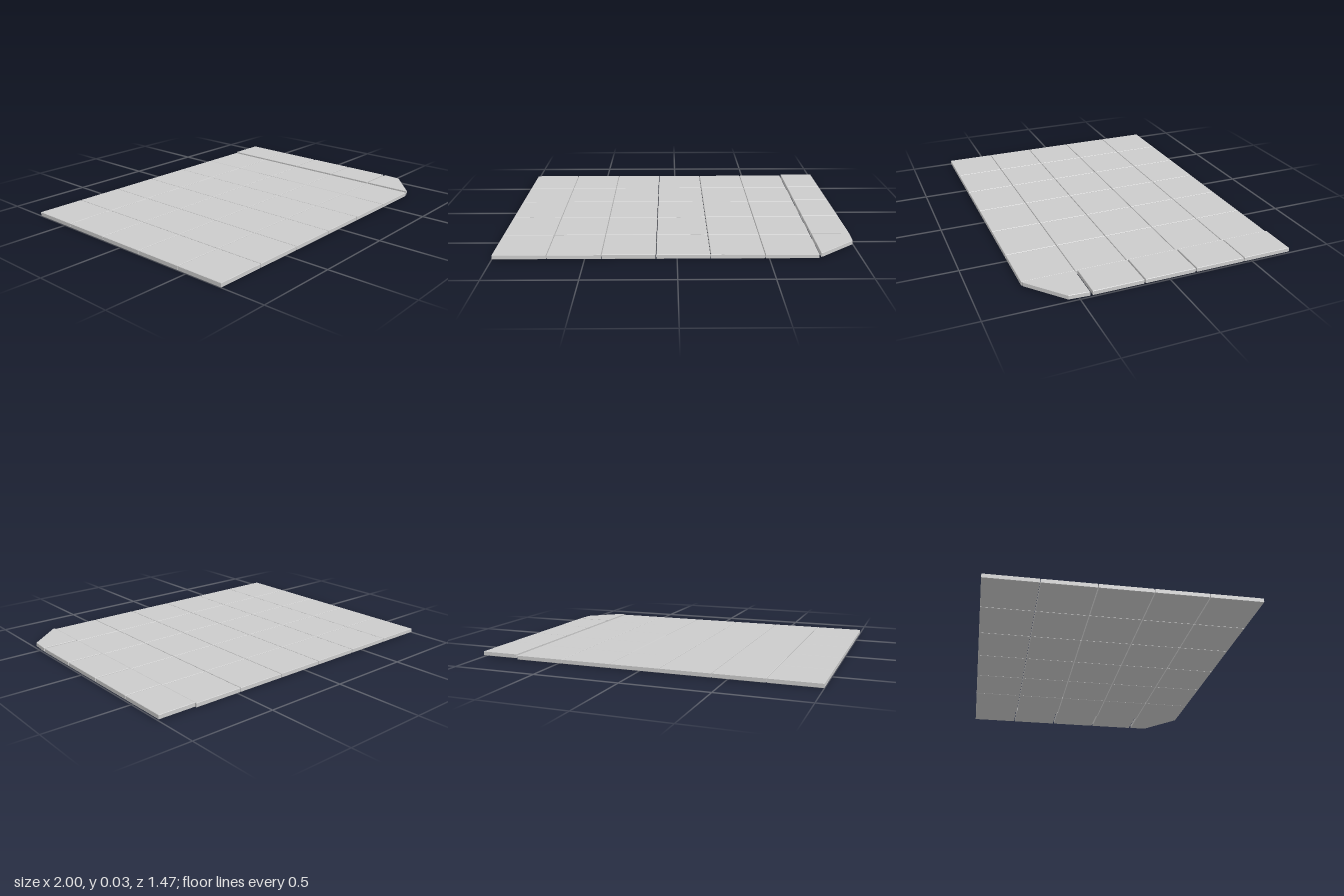
import * as THREE from 'three';

const BEVEL = 0.002;
const THICK = 0.025;
const material = new THREE.MeshStandardMaterial({ color: 0xcccccc, flatShading: true });

// Flat slab with lightly chamfered edges from an outline of [x, z] corners
function slab(name, outline, bottom) {
  const shape = new THREE.Shape(outline.map(([x, z]) => new THREE.Vector2(x, z)));
  const geometry = new THREE.ExtrudeGeometry(shape, {
    depth: THICK - 2 * BEVEL,
    bevelThickness: BEVEL,
    bevelSize: BEVEL,
    bevelOffset: -BEVEL,
    bevelSegments: 1,
  });
  geometry.rotateX(Math.PI / 2);
  geometry.translate(0, bottom + THICK - BEVEL, 0);
  const mesh = new THREE.Mesh(geometry, material);
  mesh.name = name;
  return mesh;
}

const rectangle = (x0, x1, z0, z1) => [[x0, z0], [x1, z0], [x1, z1], [x0, z1]];

export function createModel() {
  const model = new THREE.Group();
  model.name = 'tiledFloor';

  // Main field of square tiles
  const field = new THREE.Group();
  field.name = 'squareTiles';
  const pitch = 0.2957, size = 0.292, left = -1, back = -0.738;
  for (let row = 0; row < 5; row++) {
    for (let column = 0; column < 6; column++) {
      const x = left + column * pitch;
      const z = back + row * pitch;
      field.add(slab('squareTile', rectangle(x, x + size, z, z + size), 0));
    }
  }
  model.add(field);

  // Column of narrower cut tiles, sitting slightly higher
  const edge = new THREE.Group();
  edge.name = 'cutTiles';
  const lift = 0.007, inner = 0.779, outer = 1;
  const spans = [[-0.738, -0.451], [-0.446, -0.158], [-0.15, 0.14], [0.148, 0.433]];
  for (const [z0, z1] of spans) edge.add(slab('cutTile', rectangle(inner, outer, z0, z1), lift));

  // Corner tile with its outer corner cut off diagonally
  edge.add(slab('cornerTile', [
    [inner, 0.447], [outer, 0.447], [0.992, 0.56], [0.79, 0.733], [inner, 0.736],
  ], lift));
  model.add(edge);

  return model;
}
